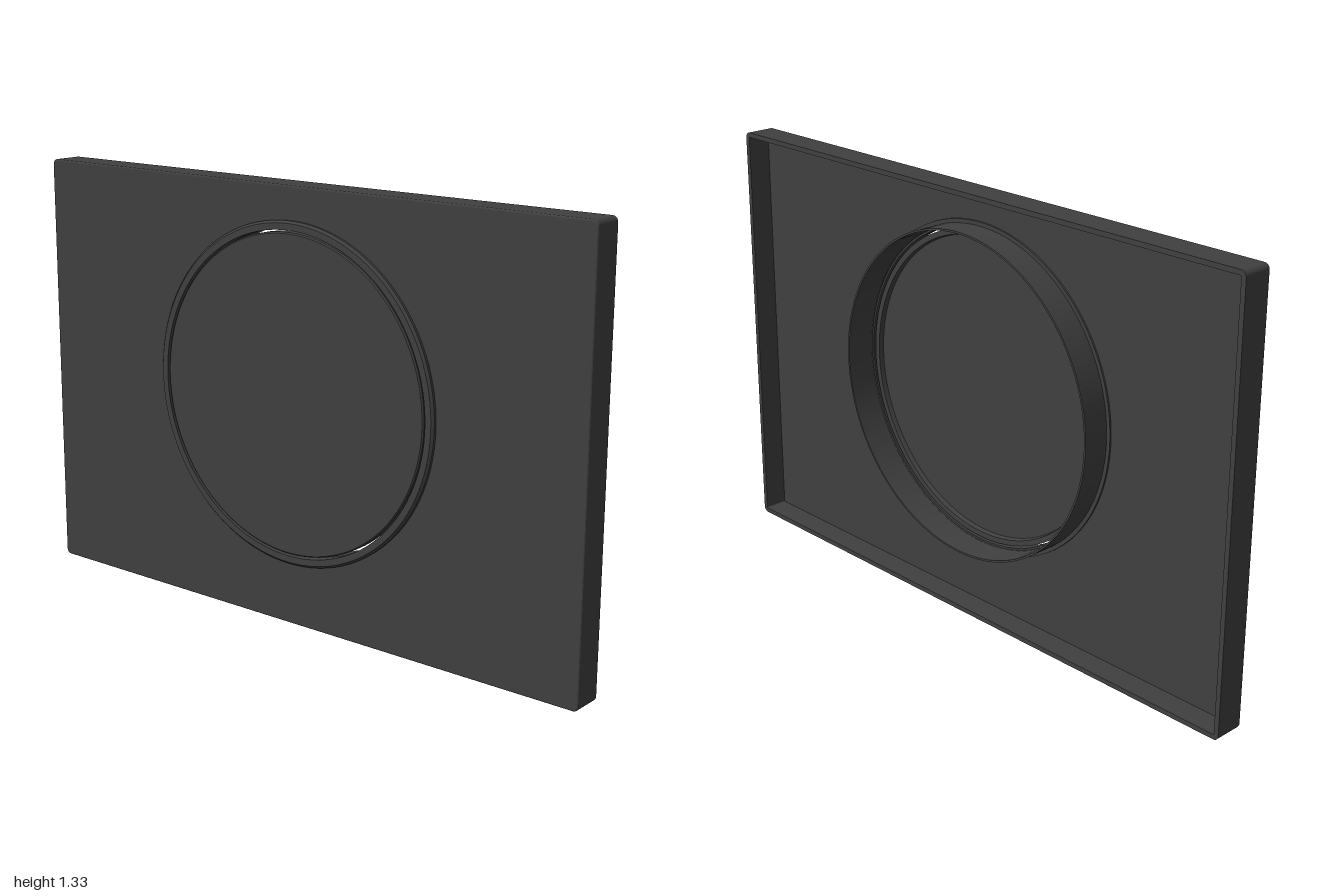
import * as THREE from 'three';

const W = 2, H = 1.33, CY = 0.7125;

// Rounded rectangle outline centred on x = 0, inset from the plate's edge
function roundedRect(path, inset, r) {
  const x = W / 2 - inset, y0 = inset, y1 = H - inset;
  path.moveTo(-x + r, y0);
  path.lineTo(x - r, y0);
  path.absarc(x - r, y0 + r, r, -Math.PI / 2, 0);
  path.lineTo(x, y1 - r);
  path.absarc(x - r, y1 - r, r, 0, Math.PI / 2);
  path.lineTo(-x + r, y1);
  path.absarc(-x + r, y1 - r, r, Math.PI / 2, Math.PI);
  path.lineTo(-x, y0 + r);
  path.absarc(-x + r, y0 + r, r, Math.PI, Math.PI * 1.5);
  return path;
}

// Ring or disc turned about the z axis; profile is [radius, z] pairs.
// Each segment is turned separately so profile edges stay sharp.
function turned(name, profile, material) {
  const group = new THREE.Group();
  group.name = name;
  for (let i = 0; i < profile.length - 1; i++) {
    const points = [profile[i], profile[i + 1]].map(([r, z]) => new THREE.Vector2(r, z));
    const mesh = new THREE.Mesh(new THREE.LatheGeometry(points, 128), material);
    mesh.name = name + 'Face';
    group.add(mesh);
  }
  group.rotation.x = Math.PI / 2;
  group.position.y = CY;
  return group;
}

export function createModel() {
  const model = new THREE.Group();
  model.name = 'wallPlate';
  const plastic = new THREE.MeshStandardMaterial({ color: 0x404040 });
  plastic.name = 'charcoal plastic';

  // Front panel with a round opening and softened front edge
  const panelShape = roundedRect(new THREE.Shape(), 0.005, 0.012);
  const opening = new THREE.Path();
  opening.absarc(0, CY, 0.502, 0, Math.PI * 2, true);
  panelShape.holes.push(opening);
  const panel = new THREE.Mesh(new THREE.ExtrudeGeometry(panelShape, {
    depth: 0.01, bevelEnabled: true, bevelSize: 0.005, bevelThickness: 0.005,
    bevelSegments: 3, curveSegments: 64,
  }), plastic);
  panel.name = 'frontPanel';
  panel.position.z = 0.03;
  model.add(panel);

  // Side walls around the hollow back
  const wallShape = roundedRect(new THREE.Shape(), 0, 0.017);
  wallShape.holes.push(roundedRect(new THREE.Path(), 0.015, 0.004));
  const walls = new THREE.Mesh(new THREE.ExtrudeGeometry(wallShape, {
    depth: 0.085, bevelEnabled: false, curveSegments: 8,
  }), plastic);
  walls.name = 'sideWalls';
  walls.position.z = -0.05;
  model.add(walls);

  // Bezel in front and collar behind, as one stepped ring
  model.add(turned('collarRing', [
    [0.491, 0.03], [0.498, 0.03], [0.498, -0.065], [0.504, -0.065], [0.504, 0.02],
    [0.516, 0.02], [0.518, 0.054], [0.511, 0.061], [0.491, 0.061], [0.491, 0.03],
  ], plastic));

  // Dial: a shallow cap with a thin gap around it
  model.add(turned('dial', [
    [0, 0.047], [0.465, 0.047], [0.468, 0.032], [0.485, 0.032],
    [0.485, 0.057], [0.481, 0.061], [0.25, 0.064], [0, 0.065],
  ], plastic));

  return model;
}
